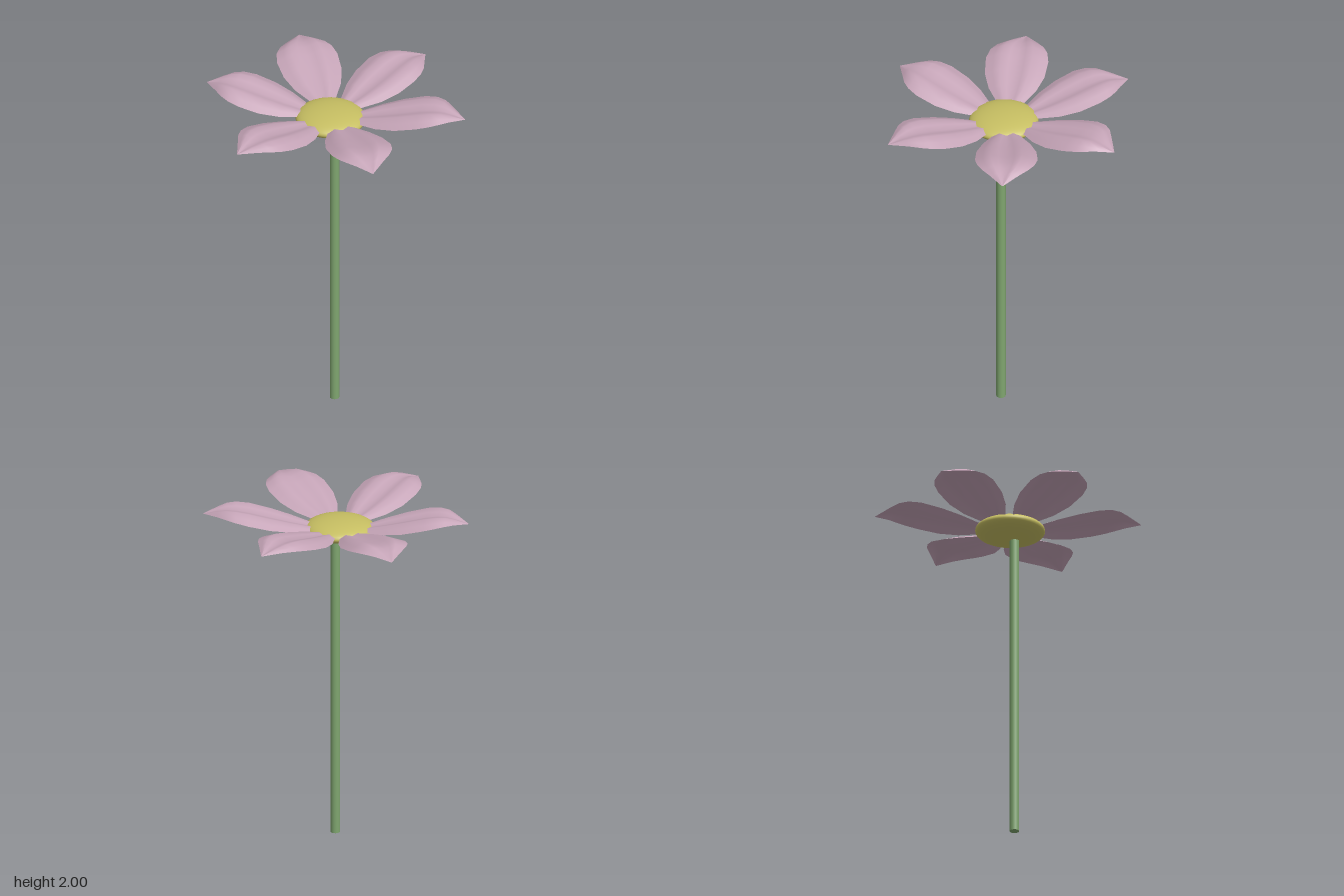
import * as THREE from 'three';

const material = (color, side = THREE.FrontSide) =>
  new THREE.MeshStandardMaterial({ color, side, roughness: 0.8 });

// Cross-sections along a petal: distance out, half width, height, sideways bend
const ROWS = [
  [0.10, 0.045, 1.876, 0],
  [0.18, 0.085, 1.893, 0],
  [0.27, 0.135, 1.915, 0],
  [0.38, 0.170, 1.943, 0],
  [0.50, 0.178, 1.973, 0],
  [0.57, 0.162, 1.984, 0.002],
  [0.62, 0.132, 1.984, 0.005],
  [0.67, 0.082, 1.973, 0.011],
  [0.75, 0.002, 1.947, 0.022],
];
const COLUMNS = 8;

// Petal pointing along -z, with a shallow central groove and drooping edges
function petalGeometry() {
  const positions = [];
  const index = [];
  ROWS.forEach(([out, half, height, bend], i) => {
    for (let j = 0; j <= COLUMNS; j++) {
      const u = (j / COLUMNS) * 2 - 1;
      const a = Math.abs(u);
      const relief = a < 0.5 ? -0.008 + 0.045 * a : 0.0145 - 0.075 * (a - 0.5);
      positions.push(u * half + bend, height + relief * (half / 0.178), -out);
      if (i < ROWS.length - 1 && j < COLUMNS) {
        const p = i * (COLUMNS + 1) + j;
        const q = p + COLUMNS + 1;
        index.push(p, p + 1, q + 1, p, q + 1, q);
      }
    }
  });
  const geometry = new THREE.BufferGeometry();
  geometry.setAttribute('position', new THREE.Float32BufferAttribute(positions, 3));
  geometry.setIndex(index);
  geometry.computeVertexNormals();
  return geometry;
}

export function createModel() {
  const flower = new THREE.Group();
  flower.name = 'flower';

  // Straight stem, slightly off the centre of the head
  const stem = new THREE.Mesh(
    new THREE.CylinderGeometry(0.027, 0.027, 1.86, 20), material(0x7fa56f));
  stem.name = 'stem';
  stem.position.set(0.04, 0.93, 0.012);
  flower.add(stem);

  // Flattened round centre
  const centre = new THREE.Mesh(new THREE.SphereGeometry(1, 40, 24), material(0xc6be62));
  centre.name = 'flowerCentre';
  centre.scale.set(0.2, 0.056, 0.196);
  centre.position.set(0.01, 1.868, 0.013);
  flower.add(centre);

  // Six petals, clockwise from the back: bearing in degrees and length factor
  const petals = new THREE.Group();
  petals.name = 'petals';
  const geometry = petalGeometry();
  const petalMaterial = material(0xc6a5b8, THREE.DoubleSide);
  const layout = [[1.3, 1], [57.5, 1.035], [117.5, 1.015], [181.3, 0.99], [244.3, 0.985], [302, 1]];
  layout.forEach(([bearing, length], i) => {
    const petal = new THREE.Mesh(geometry, petalMaterial);
    petal.name = `petal${i + 1}`;
    petal.rotation.y = -THREE.MathUtils.degToRad(bearing);
    petal.scale.z = length;
    petals.add(petal);
  });
  flower.add(petals);

  return flower;
}
